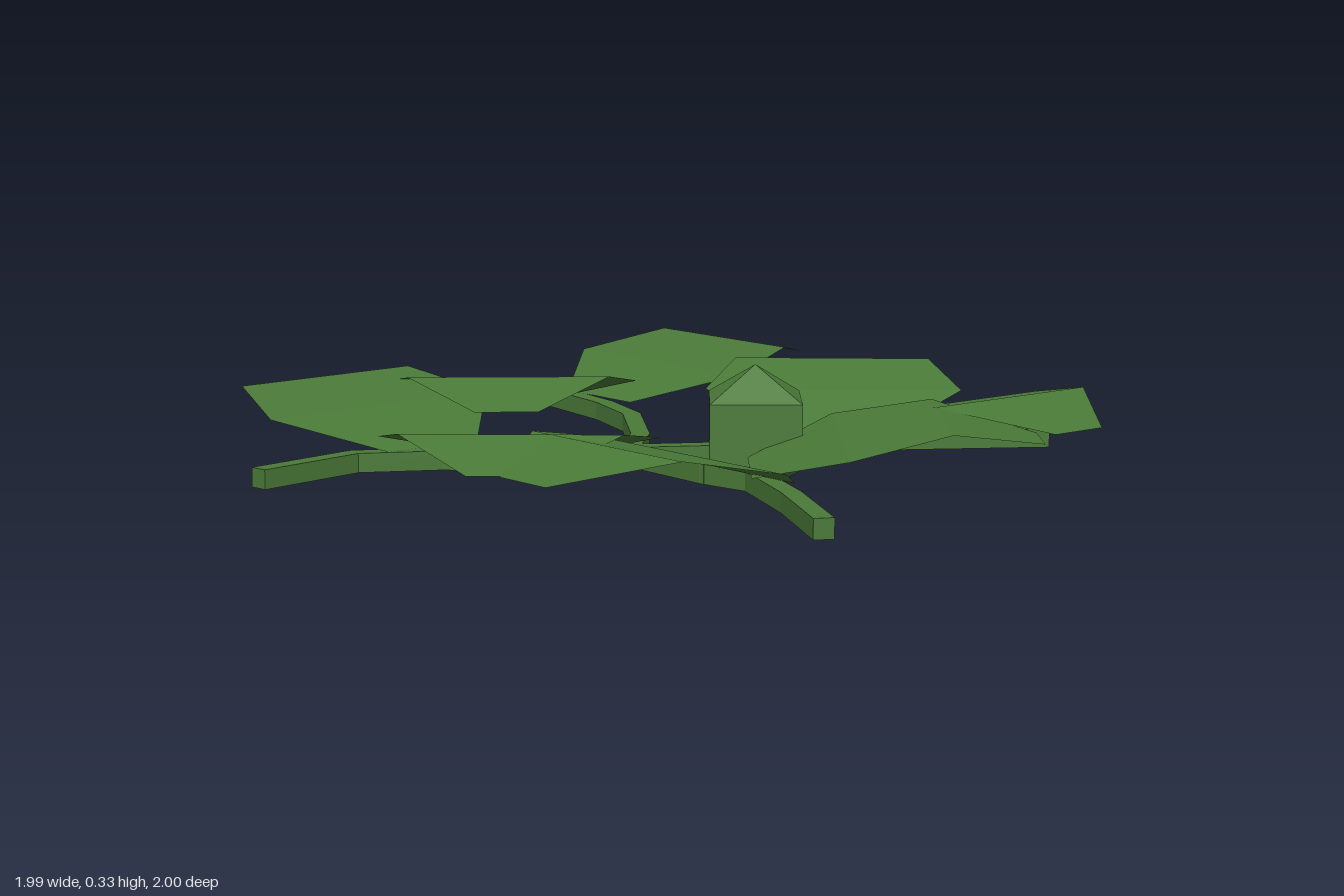
import * as THREE from 'three';

const green = new THREE.MeshStandardMaterial({ color: 0x4a7a38, flatShading: true, side: THREE.DoubleSide });
green.name = 'leafGreen';

// Folded leaf: rows across the blade as [half width, height, distance along], tip to base
function leafGeometry() {
  const rows = [
    [0.08, 0.195, -0.355],
    [0.26, 0.248, -0.12],
    [0.335, 0.2, 0.12],
    [0.137, 0.125, 0.335],
  ];
  const positions = [], indices = [];
  rows.forEach(([w, y, z], i) => {
    positions.push(-w, y, z, w, y, z);
    if (i > 0) {
      const a = 2 * (i - 1);
      indices.push(a, a + 2, a + 1, a + 1, a + 2, a + 3);
    }
  });
  const geometry = new THREE.BufferGeometry();
  geometry.setAttribute('position', new THREE.Float32BufferAttribute(positions, 3));
  geometry.setIndex(indices);
  geometry.computeVertexNormals();
  return geometry;
}

// Square stem following a path of [x, z] points on the ground
function stem(path, thickness = 0.048) {
  const group = new THREE.Group();
  for (let i = 1; i < path.length; i++) {
    const [x0, z0] = path[i - 1], [x1, z1] = path[i];
    const last = i === path.length - 1;
    const length = Math.hypot(x1 - x0, z1 - z0);
    const part = new THREE.Mesh(new THREE.BoxGeometry(thickness, thickness, length + (last ? 0 : 0.02)), green);
    part.name = 'stemSegment';
    part.position.set((x0 + x1) / 2, 0.1, (z0 + z1) / 2);
    part.rotation.y = Math.atan2(x1 - x0, z1 - z0);
    group.add(part);
  }
  return group;
}

export function createModel() {
  const model = new THREE.Group();
  model.name = 'vinePlant';

  // Leaves: centre x, centre z, then the direction from tip to base (x, z)
  const blade = leafGeometry();
  const leaves = [
    [-0.545, -0.64, -0.08, 1],
    [0.036, -0.59, 0.68, 0.73],
    [0.587, -0.511, -0.99, -0.115],
    [0.69, -0.07, -0.7, 0.714],
    [-0.495, 0.085, -0.73, -0.68],
    [-0.635, 0.493, 1, 0.05],
    [0.157, 0.645, -0.69, -0.72],
    [0.505, 0.56, 0.06, -1],
  ];
  for (const [x, z, dx, dz] of leaves) {
    const leaf = new THREE.Mesh(blade, green);
    leaf.name = 'leaf';
    leaf.position.set(x, 0, z);
    leaf.rotation.y = Math.atan2(dx, dz);
    model.add(leaf);
  }

  // Vine runners spreading from one hub
  const hub = [0.04, 0.16];
  const runners = {
    backRightRunner: [hub, [-0.07, 0.02], [-0.31, -0.18], [-0.5, -0.26], [-0.845, -0.34]],
    frontRightRunner: [hub, [0.04, 0.3], [-0.25, 0.52], [-0.375, 0.7], [-0.36, 1]],
    frontLeftRunner: [hub, [0.34, 0.19], [0.48, 0.18], [0.72, 0.31], [0.97, 0.475]],
    backLeftRunner: [hub, [0.16, 0], [0.21, -0.15], [0.26, -0.37], [0.6, -0.79]],
  };
  for (const [name, path] of Object.entries(runners)) {
    const runner = stem(path);
    runner.name = name;
    model.add(runner);
  }

  // Four-sided fruit with pointed ends
  const profile = [[0, 0], [0.16, 0.087], [0.16, 0.247], [0, 0.33]].map(([r, y]) => new THREE.Vector2(r, y));
  const fruit = new THREE.Mesh(new THREE.LatheGeometry(profile, 4), green);
  fruit.name = 'fruit';
  fruit.position.set(0.265, 0, -0.05);
  model.add(fruit);

  return model;
}
